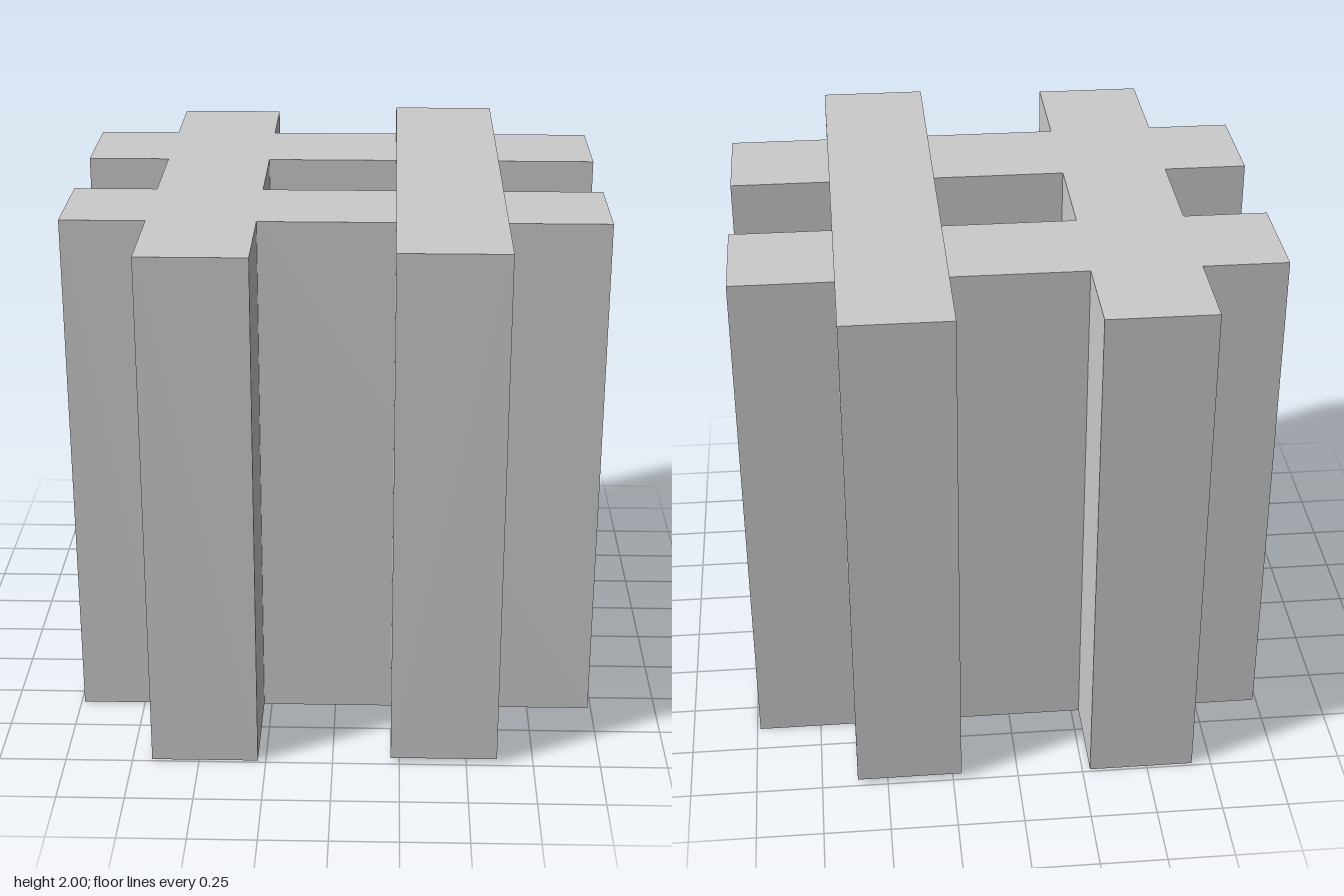
import * as THREE from 'three';

export function createModel() {
  const group = new THREE.Group();
  const material = new THREE.MeshStandardMaterial({ color: 0xcccccc, flatShading: true });
  const end = 0.988, height = 1.98, lift = 0.02;

  // Plan edges of the bars: the post wall runs along z, the cross walls along x
  const [postL, postR] = [-0.677, -0.28];
  const [backMin, backMax] = [-0.634, -0.232];
  const [frontMin, frontMax] = [0.181, 0.579];

  // Two cross walls and one lengthwise wall share a single outline (x, z)
  const outline = [
    [postL, end], [postR, end], [postR, frontMax], [end, frontMax],
    [end, frontMin], [postR, frontMin], [postR, backMax], [end, backMax],
    [end, backMin], [postR, backMin], [postR, -end], [postL, -end],
    [postL, backMin], [-end, backMin], [-end, backMax], [postL, backMax],
    [postL, frontMin], [-end, frontMin], [-end, frontMax], [postL, frontMax],
  ].map(([x, z]) => new THREE.Vector2(x, -z));
  const wallsGeometry = new THREE.ExtrudeGeometry(new THREE.Shape(outline), {
    depth: height, bevelEnabled: false,
  });
  wallsGeometry.rotateX(-Math.PI / 2);
  const walls = new THREE.Mesh(wallsGeometry, material);
  walls.name = 'crossedWalls';
  group.add(walls);

  // Second lengthwise wall sits slightly higher than the rest
  const raised = new THREE.Mesh(new THREE.BoxGeometry(0.397, height, 2 * end), material);
  raised.name = 'raisedWall';
  raised.position.set(0.416, lift + height / 2, 0);
  group.add(raised);

  return group;
}
